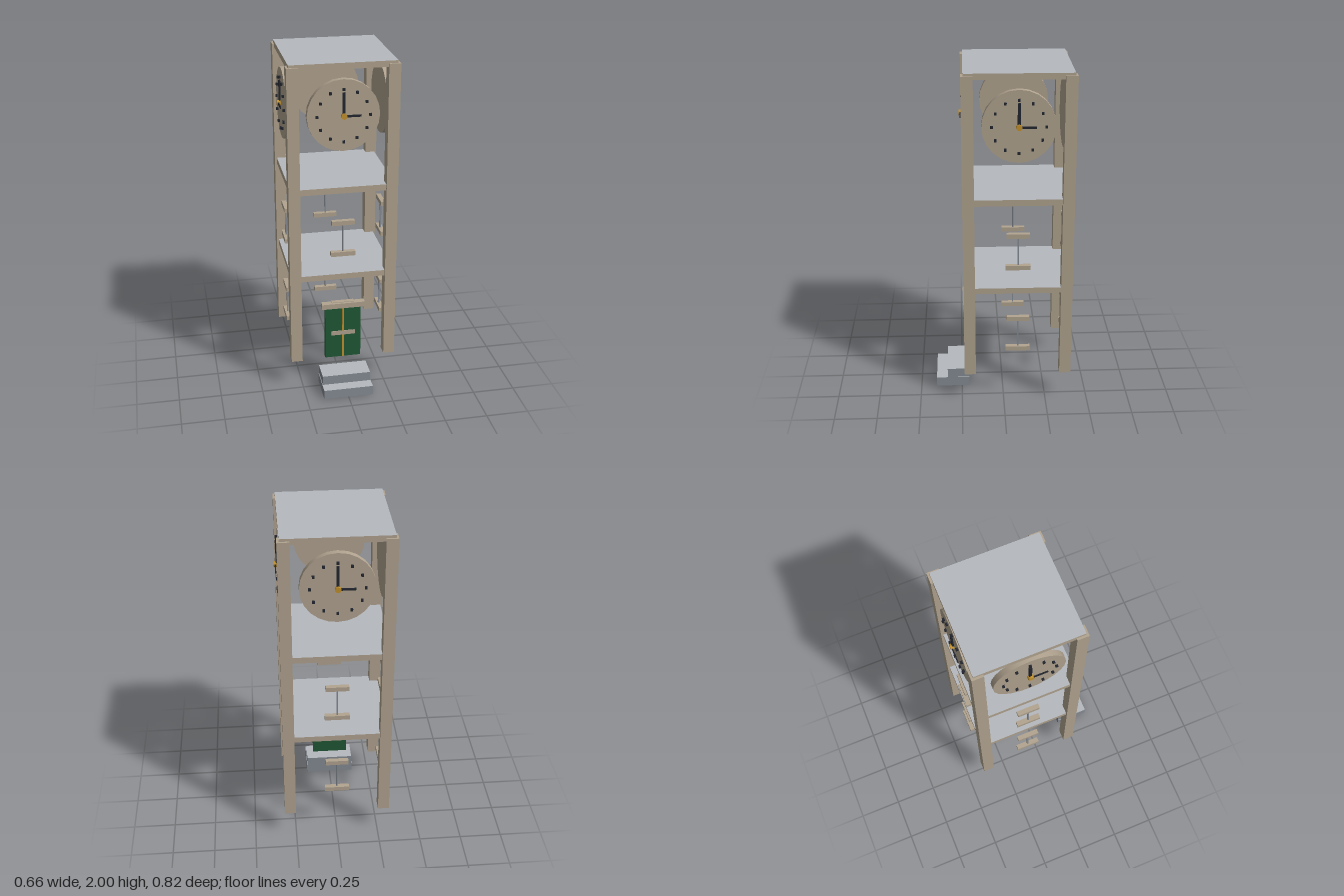
import * as THREE from 'three';

const mat = (name, color) => Object.assign(new THREE.MeshStandardMaterial({ color }), { name });

export function createModel() {
  const tan = mat('sandstone', 0xb2a490);
  const pale = mat('pale stone top', 0xb5b9be);
  const stone = mat('step stone', 0x868d95);
  const dark = mat('dark iron', 0x22262f);
  const green = mat('door green', 0x205835);
  const gold = mat('brass', 0xc4922c);
  const capped = [tan, tan, pale, tan, tan, tan];

  // Box given by its lower and upper limits on each axis
  const box = (parent, name, material, [x0, x1], [y0, y1], [z0, z1]) => {
    const mesh = new THREE.Mesh(new THREE.BoxGeometry(x1 - x0, y1 - y0, z1 - z0), material);
    mesh.position.set((x0 + x1) / 2, (y0 + y1) / 2, (z0 + z1) / 2);
    mesh.name = name;
    parent.add(mesh);
    return mesh;
  };
  const sym = (h) => [-h, h];

  const model = new THREE.Group();
  model.name = 'clockTower';
  const tower = new THREE.Group();
  tower.name = 'tower';
  tower.position.z = -0.083;
  model.add(tower);

  // Corner posts
  for (const x of [-0.283, 0.283]) {
    for (const z of [-0.283, 0.283]) {
      box(tower, 'cornerPost', tan, [x - 0.0335, x + 0.0335], [0.175, 1.985], [z - 0.0335, z + 0.0335]);
    }
  }

  // Two floors and the roof, with pale upper faces
  [['lowerFloor', 0.7, 0.735], ['upperFloor', 1.243, 1.28], ['roof', 1.965, 2.0]].forEach(([name, y0, y1]) =>
    box(tower, name, capped, sym(0.304), [y0, y1], sym(0.304)));

  // Window trim: lintel, sill and a thin mullion
  const addWindow = (side, y) => {
    const w = new THREE.Group();
    w.name = 'window';
    w.position.y = y;
    box(w, 'sill', tan, sym(0.072), [0, 0.027], [0.278, 0.308]);
    box(w, 'lintel', tan, sym(0.067), [0.195, 0.222], [0.278, 0.306]);
    box(w, 'mullion', stone, sym(0.004), [0.027, 0.195], [0.286, 0.296]);
    side.add(w);
  };

  // Clock: disc, hour marks, hands at three o'clock, brass hub
  const addClock = (side) => {
    const c = new THREE.Group();
    c.name = 'clock';
    c.position.y = 1.704;
    const cylinder = (name, material, r, z0, z1, n) => {
      const g = new THREE.CylinderGeometry(r, r, z1 - z0, n).rotateX(Math.PI / 2);
      const mesh = new THREE.Mesh(g, material);
      mesh.position.z = (z0 + z1) / 2;
      mesh.name = name;
      c.add(mesh);
    };
    cylinder('clockFace', tan, 0.206, 0.27, 0.304, 24);
    for (let i = 0; i < 12; i++) {
      const a = (i * Math.PI) / 6;
      const x = 0.15 * Math.sin(a), y = 0.15 * Math.cos(a);
      box(c, 'hourMark', dark, [x - 0.007, x + 0.007], [y - 0.007, y + 0.007], [0.303, 0.316]);
    }
    box(c, 'minuteHand', dark, sym(0.008), [0, 0.133], [0.307, 0.317]);
    box(c, 'hourHand', dark, [0, 0.097], sym(0.006), [0.317, 0.323]);
    cylinder('clockHub', gold, 0.017, 0.308, 0.328, 10);
    side.add(c);
  };

  // The four sides share the same windows and clock
  ['front', 'left', 'back', 'right'].forEach((name, i) => {
    const side = new THREE.Group();
    side.name = name + 'Side';
    side.rotation.y = (i * Math.PI) / 2;
    addWindow(side, 0.326);
    addWindow(side, 0.85);
    addClock(side);
    tower.add(side);
  });

  // Front door with a brass centre strip and a lintel
  box(tower, 'door', green, sym(0.108), [0.175, 0.514], [0.279, 0.304]);
  box(tower, 'doorStrip', gold, sym(0.005), [0.175, 0.514], [0.303, 0.307]);
  box(tower, 'doorLintel', tan, sym(0.129), [0.513, 0.545], [0.282, 0.321]);

  // Entrance steps
  const treads = [stone, stone, pale, stone, stone, stone];
  box(model, 'lowerStep', treads, sym(0.148), [0, 0.058], [0.204, 0.405]);
  box(model, 'upperStep', treads, sym(0.145), [0.058, 0.115], [0.204, 0.338]);

  return model;
}
